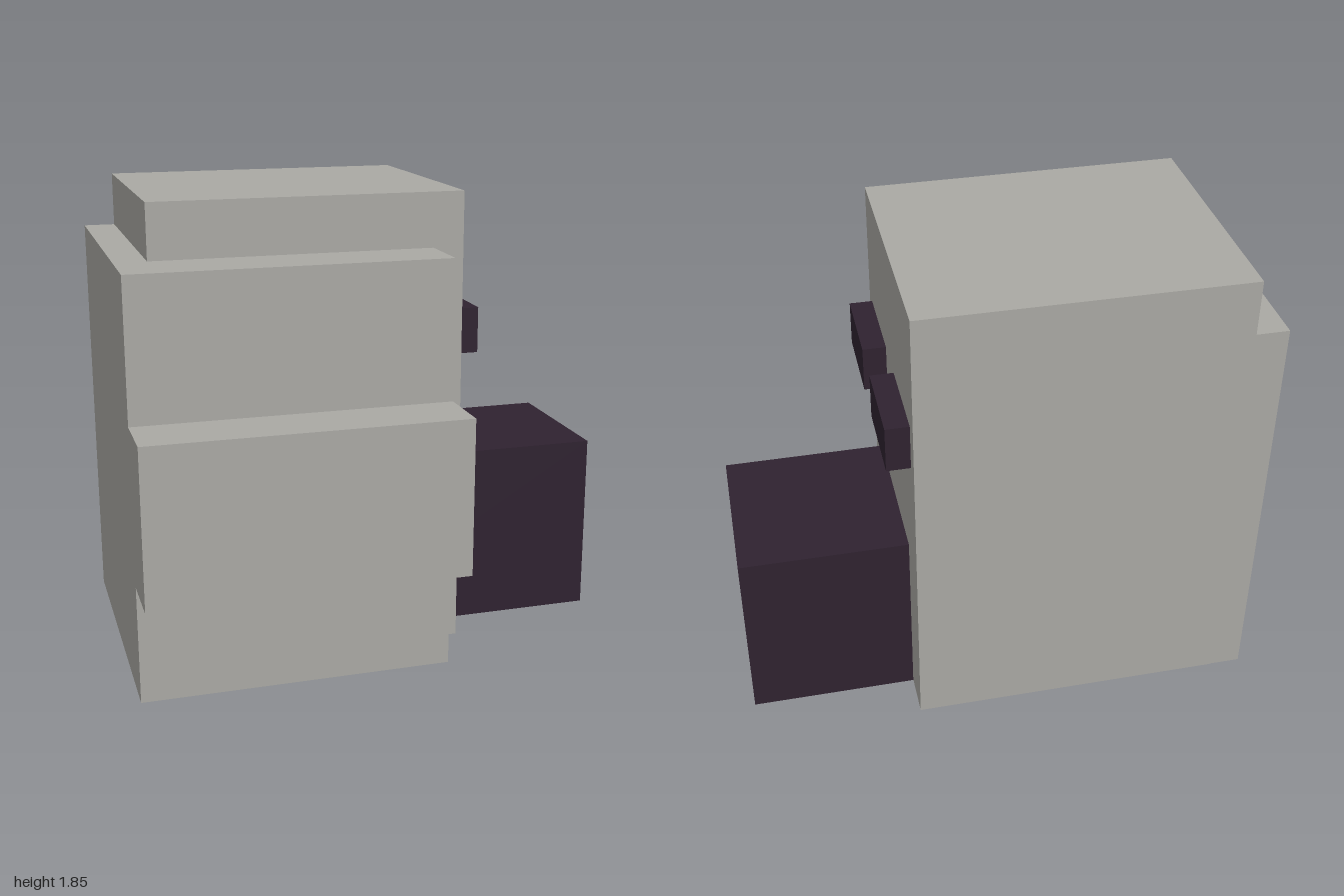
import * as THREE from 'three';

export function createModel() {
  const model = new THREE.Group();
  const grey = new THREE.MeshStandardMaterial({ color: 0xaaa9a4 });
  grey.name = 'stone grey';
  const dark = new THREE.MeshStandardMaterial({ color: 0x2f2230 });
  dark.name = 'dark plum';

  // Box given by its extents along each axis
  function block(name, material, [x0, x1], [y0, y1], [z0, z1]) {
    const mesh = new THREE.Mesh(new THREE.BoxGeometry(x1 - x0, y1 - y0, z1 - z0), material);
    mesh.position.set((x0 + x1) / 2, (y0 + y1) / 2, (z0 + z1) / 2);
    mesh.name = name;
    model.add(mesh);
  }

  // Stepped body: tall core, lower offset layer and side ledge
  block('bodyCore', grey, [-0.875, 0.35], [0.003, 1.85], [-0.737, 0.243]);
  block('bodyLayer', grey, [-1, 0.227], [0.005, 1.635], [-0.737, 0.49]);
  block('sideLedge', grey, [-1, 0.227], [0.473, 1.087], [0.3, 0.735]);

  // Snout runs into the body and shows on the underside
  block('snout', dark, [-0.225, 1], [0, 0.74], [-0.567, 0.072]);

  // Pair of eyes mirrored about the middle of the face
  for (const side of [-1, 1]) {
    const mid = -0.245 + side * 0.259;
    block(side > 0 ? 'frontEye' : 'backEye', dark, [0.3, 0.44], [1.195, 1.378], [mid - 0.171, mid + 0.171]);
  }
  return model;
}
